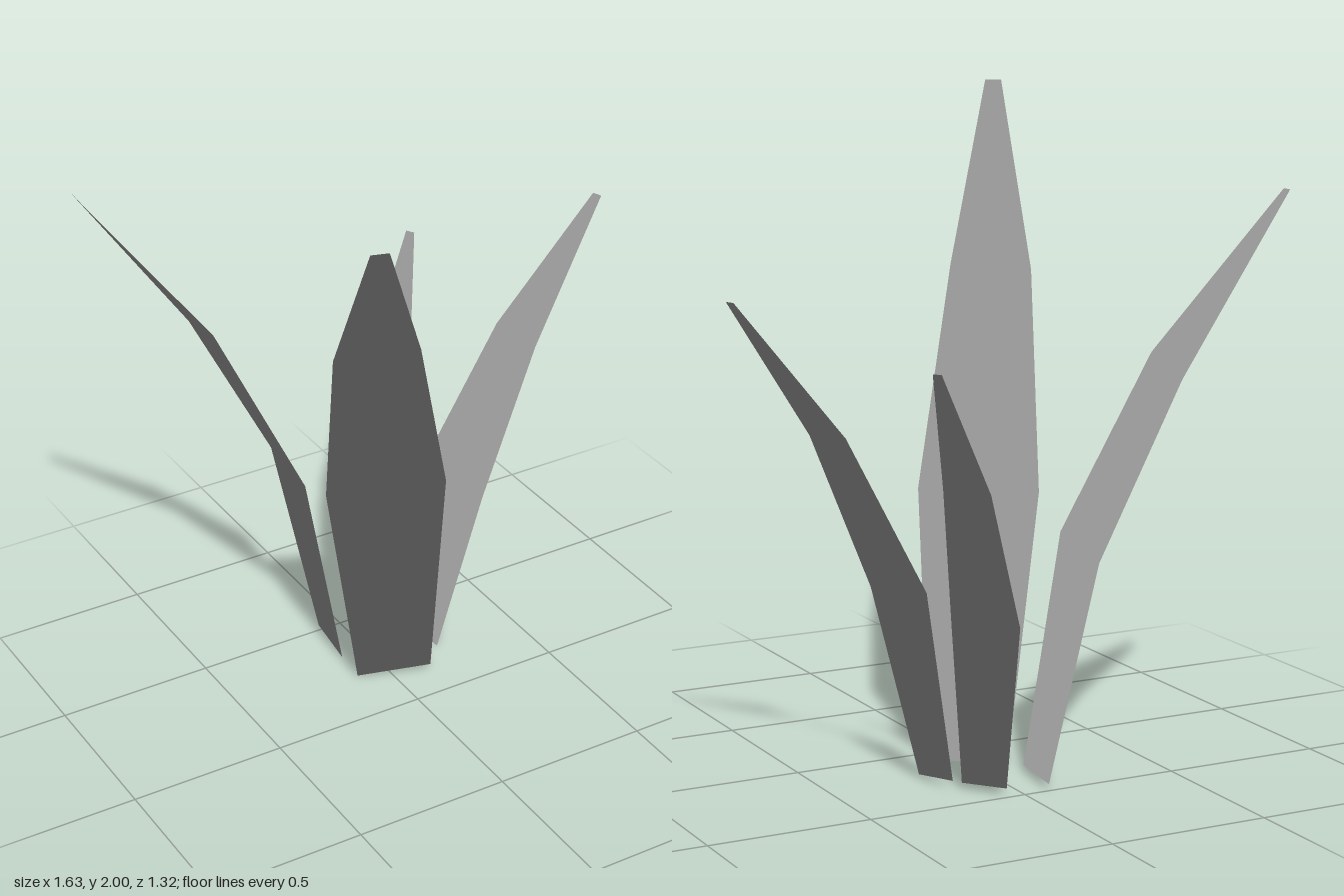
import * as THREE from 'three';

// Each blade is a folded strip: four rungs (base, widest, bend, tip),
// each rung holding its two edge points.
const blades = {
  frontBlade: [
    [[-0.10, 0.0, -0.21], [0.12, 0.02, -0.12]],
    [[-0.27, 0.80, -0.09], [0.07, 0.82, 0.05]],
    [[-0.40, 1.44, 0.20], [-0.17, 1.46, 0.30]],
    [[-0.53, 2.0, 0.64], [-0.48, 2.0, 0.655]],
  ],
  rightBlade: [
    [[-0.08, 0.02, -0.50], [-0.105, 0.02, -0.30]],
    [[-0.19, 0.69, -0.59], [-0.235, 0.72, -0.285]],
    [[-0.45, 1.21, -0.61], [-0.47, 1.26, -0.405]],
    [[-0.815, 1.74, -0.60], [-0.82, 1.74, -0.56]],
  ],
  leftBlade: [
    [[0.20, 0.01, -0.21], [0.17, 0.03, -0.37]],
    [[0.32, 0.58, -0.135], [0.265, 0.61, -0.39]],
    [[0.525, 1.055, -0.16], [0.49, 1.07, -0.33]],
    [[0.815, 1.47, -0.245], [0.805, 1.47, -0.275]],
  ],
  backBlade: [
    [[0.14, 0.02, -0.37], [0.05, 0.02, -0.48]],
    [[0.17, 0.51, -0.36], [0.035, 0.51, -0.53]],
    [[0.245, 0.92, -0.455], [0.155, 0.92, -0.575]],
    [[0.37, 1.29, -0.635], [0.355, 1.29, -0.66]],
  ],
};

// Joins the rungs with quads; foliage normals all point up for even shading
function bladeGeometry(rungs) {
  const index = [];
  for (let i = 0; i < rungs.length - 1; i++) {
    const a = i * 2; // a, a+1 lower edge pair; a+2, a+3 upper edge pair
    index.push(a, a + 2, a + 3, a, a + 3, a + 1);
  }
  const up = rungs.flatMap(() => [0, 1, 0, 0, 1, 0]);
  const geometry = new THREE.BufferGeometry();
  geometry.setAttribute('position', new THREE.Float32BufferAttribute(rungs.flat(2), 3));
  geometry.setAttribute('normal', new THREE.Float32BufferAttribute(up, 3));
  geometry.setIndex(index);
  return geometry;
}

export function createModel() {
  const group = new THREE.Group();
  group.name = 'grassTuft';
  const leafGrey = new THREE.MeshStandardMaterial({ color: 0x969696, side: THREE.DoubleSide });
  leafGrey.name = 'leafGrey';

  for (const [name, rungs] of Object.entries(blades)) {
    const blade = new THREE.Mesh(bladeGeometry(rungs), leafGrey);
    blade.name = name;
    group.add(blade);
  }
  return group;
}
